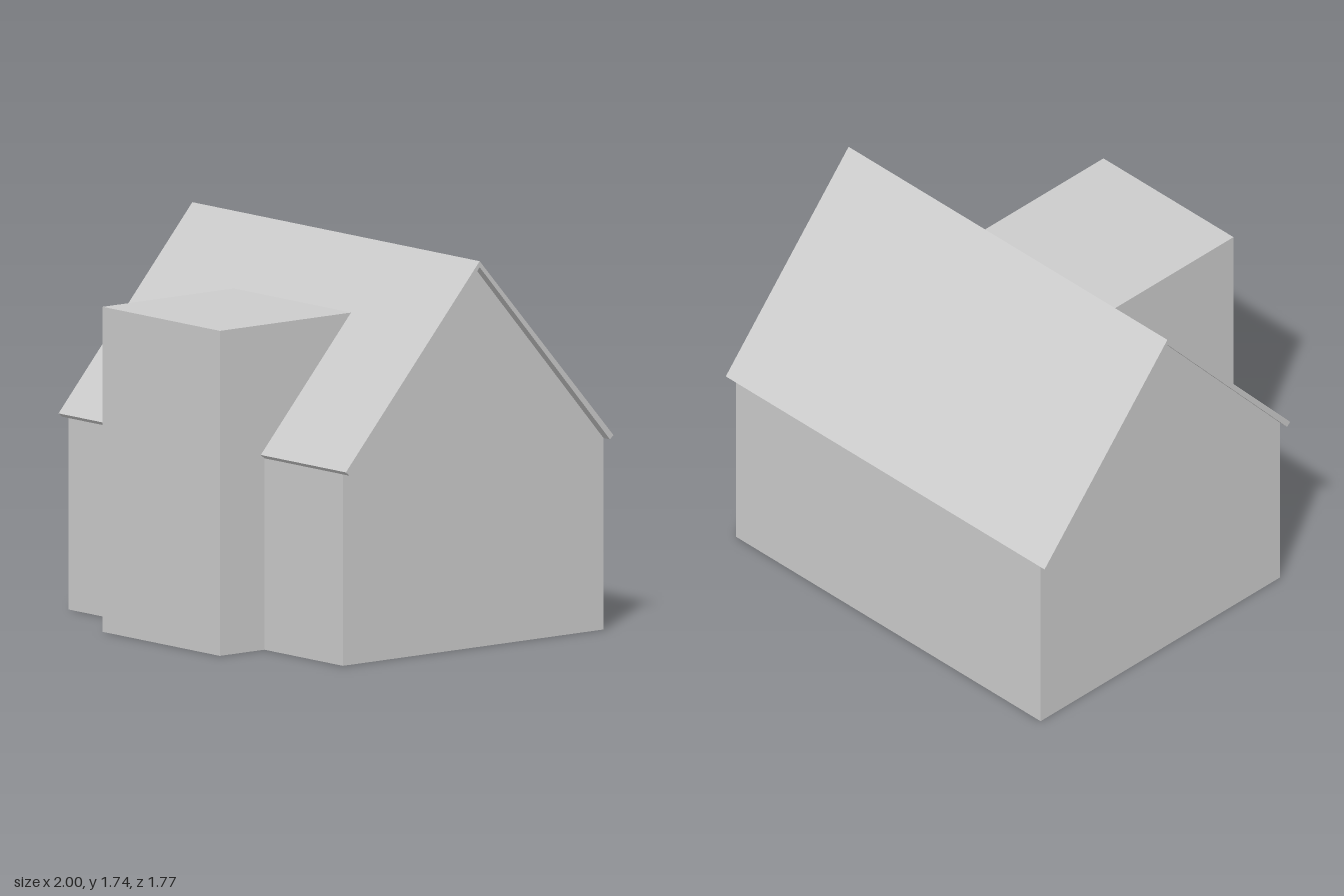
import * as THREE from 'three';

const RIDGE_Z = -0.1175;
const FRONT_Z = 0.63, BACK_Z = -0.865;
const EAVE_Y = 0.86, PEAK_Y = 1.715;

const material = new THREE.MeshStandardMaterial({ color: 0xcccccc, flatShading: true });

// Extrudes a side profile of [z, y] points across x, centred on x = 0
function sideProfile(name, points, width) {
  const shape = new THREE.Shape(points.map(([z, y]) => new THREE.Vector2(z, y)));
  const geometry = new THREE.ExtrudeGeometry(shape, { depth: width, bevelEnabled: false });
  geometry.translate(0, 0, -width / 2);
  geometry.rotateY(-Math.PI / 2);
  const mesh = new THREE.Mesh(geometry, material);
  mesh.name = name;
  return mesh;
}

export function createModel() {
  const house = new THREE.Group();
  house.name = 'house';

  // Gabled main body
  house.add(sideProfile('walls', [
    [FRONT_Z, 0], [FRONT_Z, EAVE_Y], [RIDGE_Z, PEAK_Y], [BACK_Z, EAVE_Y], [BACK_Z, 0],
  ], 1.91));

  // Thin folded roof with square-cut eaves, overhanging the gables
  house.add(sideProfile('roof', [
    [FRONT_Z, EAVE_Y], [0.65, 0.877], [RIDGE_Z, 1.742],
    [-0.885, 0.877], [BACK_Z, EAVE_Y], [RIDGE_Z, PEAK_Y],
  ], 2));

  // Flat-topped front bay, cut to meet the wall and the roof slope
  const bayTop = 1.46;
  const slopeZ = RIDGE_Z + (FRONT_Z - RIDGE_Z) * (PEAK_Y - bayTop) / (PEAK_Y - EAVE_Y);
  house.add(sideProfile('frontBay', [
    [0.885, 0], [0.885, bayTop], [slopeZ, bayTop], [FRONT_Z, EAVE_Y], [FRONT_Z, 0],
  ], 0.816));

  return house;
}
